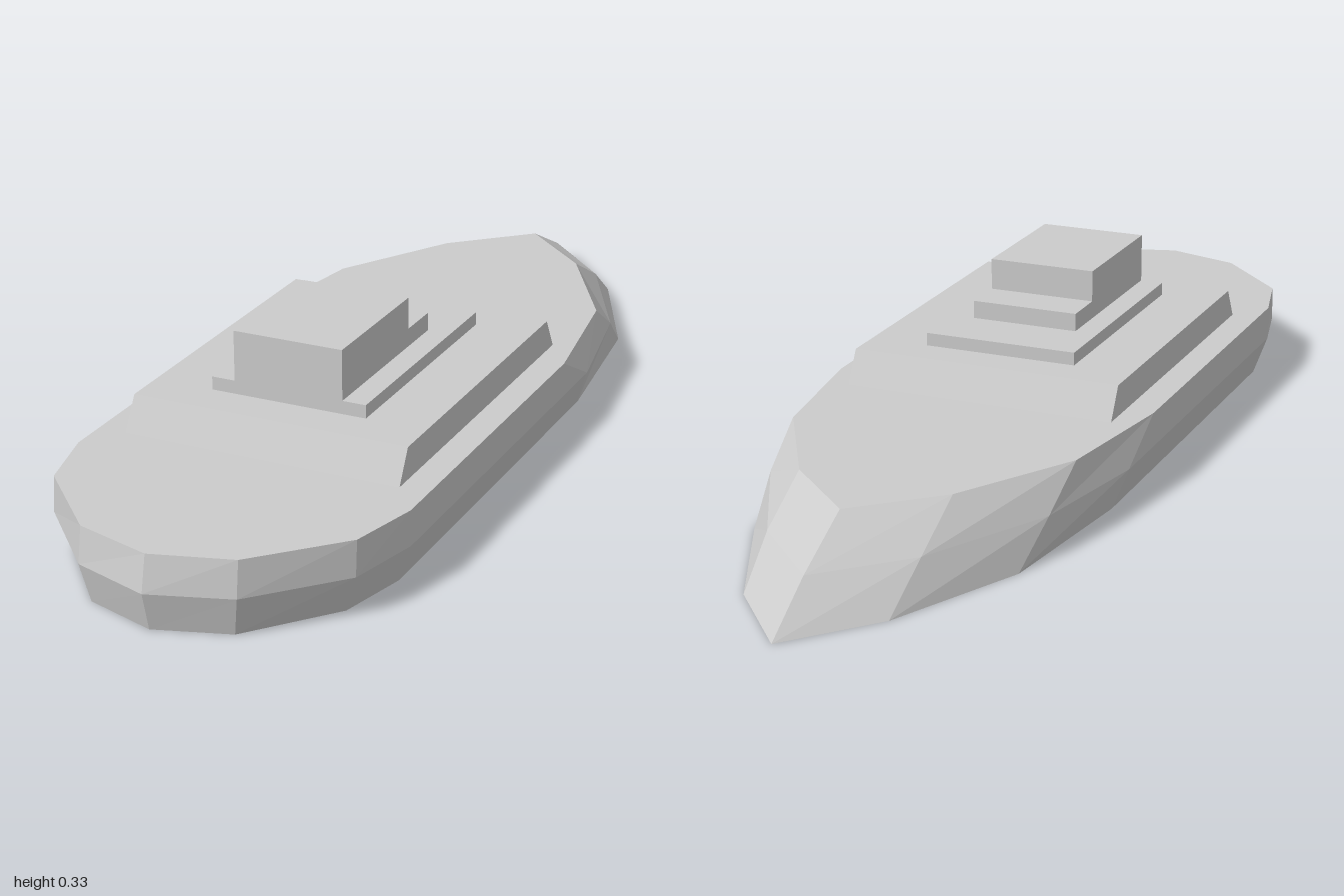
import * as THREE from 'three';

const material = new THREE.MeshStandardMaterial({ color: 0xcccccc, flatShading: true });

// Half outlines [x, z] from stern to bow, mirrored into closed rings
const levels = [
  { y: 0, half: [[0, 0.98], [0.14, 0.935], [0.272, 0.78], [0.307, 0.64], [0.307, -0.22], [0.265, -0.57], [0.14, -0.84], [0, -1]] },
  { y: 0.076, half: [[0, 1], [0.153, 0.95], [0.298, 0.795], [0.333, 0.65], [0.333, -0.2], [0.282, -0.47], [0.15, -0.73], [0, -0.88]] },
  { y: 0.145, half: [[0, 0.985], [0.152, 0.94], [0.298, 0.79], [0.333, 0.65], [0.333, -0.07], [0.29, -0.36], [0.152, -0.6], [0, -0.74]] },
];

function ring({ y, half }) {
  const mirrored = half.slice(1, -1).reverse().map(([x, z]) => [-x, z]);
  return [...half, ...mirrored].map(([x, z]) => [x, y, z]);
}

function hullGeometry() {
  const rings = levels.map(ring);
  const n = rings[0].length;
  const positions = [];
  const tri = (a, b, c) => positions.push(...a, ...b, ...c);
  const top = rings[rings.length - 1];
  for (let i = 0; i < n; i++) {
    const j = (i + 1) % n;
    // Side plating
    for (let k = 0; k < rings.length - 1; k++) {
      const lo = rings[k], hi = rings[k + 1];
      tri(lo[i], lo[j], hi[j]);
      tri(lo[i], hi[j], hi[i]);
    }
    // Flat bottom and deck
    tri(rings[0][j], rings[0][i], [0, levels[0].y, 0]);
    tri(top[i], top[j], [0, top[0][1], 0]);
  }
  const geometry = new THREE.BufferGeometry();
  geometry.setAttribute('position', new THREE.Float32BufferAttribute(positions, 3));
  geometry.computeVertexNormals();
  return geometry;
}

// Side profile [z, y] extruded across the beam
function tier(name, halfWidth, profile) {
  const shape = new THREE.Shape(profile.map(([z, y]) => new THREE.Vector2(z, y)));
  const geometry = new THREE.ExtrudeGeometry(shape, { depth: halfWidth * 2, bevelEnabled: false });
  geometry.translate(0, 0, -halfWidth).rotateY(-Math.PI / 2);
  const mesh = new THREE.Mesh(geometry, material);
  mesh.name = name;
  return mesh;
}

export function createModel() {
  const group = new THREE.Group();
  group.name = 'ship';

  const hull = new THREE.Mesh(hullGeometry(), material);
  hull.name = 'hull';
  group.add(hull);

  // Stepped superstructure
  group.add(
    tier('lowerDeckhouse', 0.277, [[0.575, 0.145], [0.54, 0.208], [-0.115, 0.208], [-0.15, 0.145]]),
    tier('upperDeck', 0.157, [[0.46, 0.208], [0.46, 0.234], [-0.04, 0.234], [-0.04, 0.208]]),
    tier('bridge', 0.11, [[0.46, 0.234], [0.46, 0.333], [0.175, 0.333], [0.175, 0.27], [0.085, 0.27], [0.085, 0.234]]),
  );
  return group;
}
